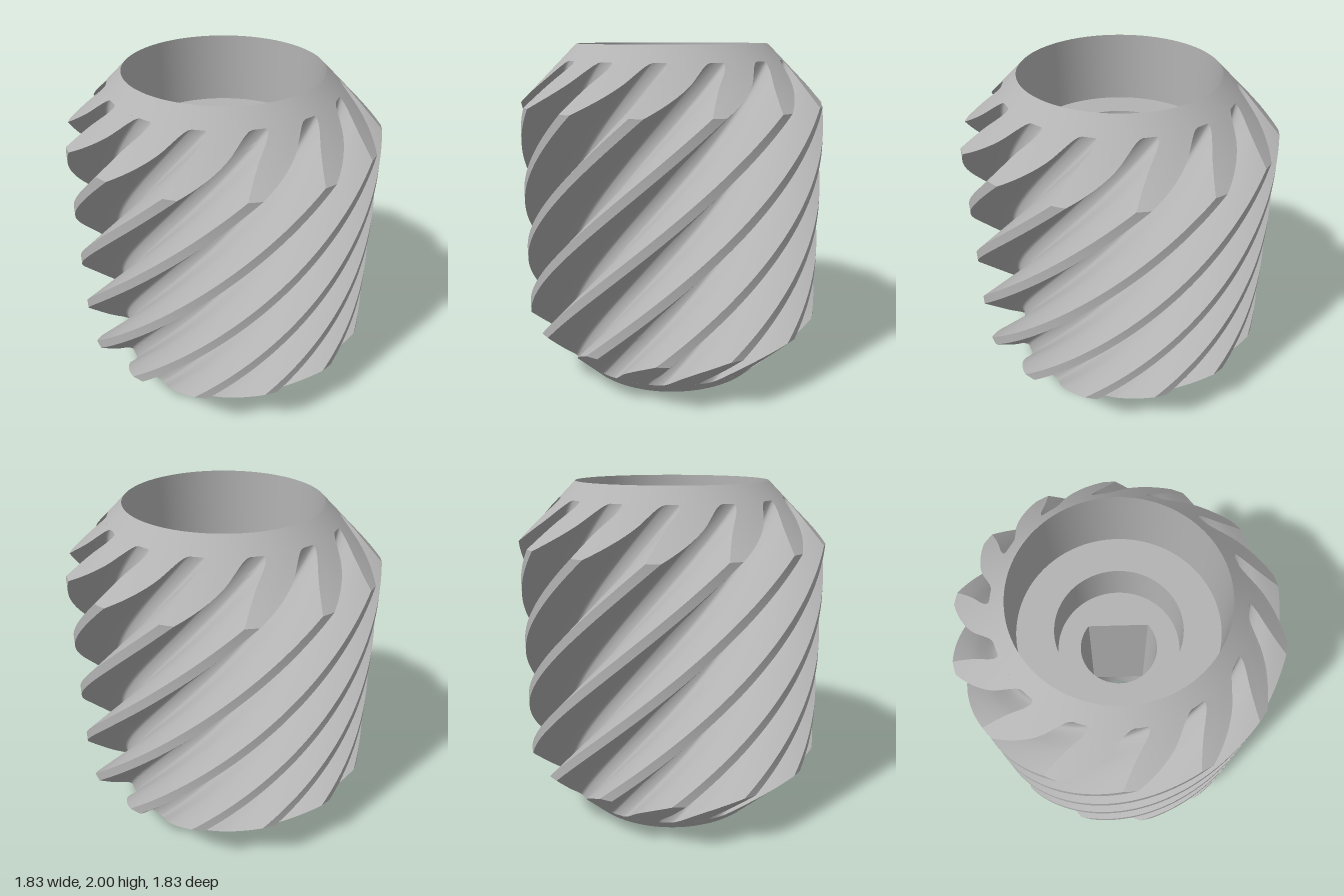
import * as THREE from 'three';
import { toCreasedNormals } from 'three/addons/utils/BufferGeometryUtils.js';

const TEETH = 14, HEIGHT = 2;
const RAD = Math.PI / 180;
const PITCH = (2 * Math.PI) / TEETH;
const TWIST = 72.3 * RAD;            // helix turn per unit of height
const PHASE = -2 * RAD;
const R_END = 0.57, R_ROOT = 0.66, R_TIP = 0.914, R_PITCH = 0.8, R_BASE = 0.752;
const R_HOLE = 0.227, R_SEAT = 0.36;
const Y_POCKET = 1.58, Y_SEAT = 1.3, Y_FLAT = 0.35;

// Half of a tooth as [radius, half angle], root fillet first, then the involute
function toothFlank() {
  const flank = [[R_ROOT, 10], [0.665, 8.9], [0.675, 8.2], [0.69, 7.75], [0.715, 7.42]]
    .map(([r, a]) => [r, a * RAD]);
  const inv = (r) => {
    const a = Math.acos(Math.min(1, R_BASE / r));
    return Math.tan(a) - a;
  };
  const steps = 7;
  for (let i = 0; i <= steps; i++) {
    const r = R_BASE + (R_TIP - R_BASE) * (i / steps);
    flank.push([r, PITCH / 4 + inv(R_PITCH) - inv(r)]);
  }
  return flank;
}

// Grid of quads; at(i, j) gives [radius, angle, y], i runs around and j upwards
function addGrid(out, nu, nv, at) {
  const put = (i, j) => {
    const [r, a, y] = at(i, j);
    out.push(r * Math.sin(a), y, r * Math.cos(a));
  };
  for (let i = 0; i < nu; i++) {
    for (let j = 0; j < nv; j++) {
      put(i, j); put(i + 1, j); put(i + 1, j + 1);
      put(i, j); put(i + 1, j + 1); put(i, j + 1);
    }
  }
}

function toGeometry(positions) {
  const g = new THREE.BufferGeometry();
  g.setAttribute('position', new THREE.Float32BufferAttribute(positions, 3));
  return toCreasedNormals(g, 35 * RAD);
}

export function createModel() {
  const group = new THREE.Group();
  const metal = new THREE.MeshStandardMaterial({ color: 0xb3b3b3 });
  metal.name = 'plain grey';
  const add = (name, geometry) => {
    const mesh = new THREE.Mesh(geometry, metal);
    mesh.name = name;
    group.add(mesh);
  };

  const flank = toothFlank();
  // One pitch of the outline: rising flank, land, falling flank, root
  const outline = [
    ...flank.map(([r, a]) => [r, -a]),
    [R_TIP, 0],
    ...[...flank].reverse(),
    [R_ROOT, PITCH / 2],
    [R_ROOT, PITCH - flank[0][1]],
  ];

  const threads = [], lowerEnds = [], upperEnds = [];
  const ROWS = 64, ACROSS = 4, last = flank.length - 1;
  for (let t = 0; t < TEETH; t++) {
    const centre = PHASE + t * PITCH;
    // Helical flanks, each line stopping where it meets the end cones
    addGrid(threads, outline.length - 1, ROWS, (i, j) => {
      const [r, a] = outline[i];
      const y0 = r - R_END;
      const y = y0 + (HEIGHT - 2 * y0) * (j / ROWS);
      return [r, centre + a + TWIST * y, y];
    });
    // Chamfered tooth ends lying on the cones
    const onCone = (k, i, upper) => {
      const [r, a] = flank[k];
      const y = upper ? HEIGHT - (r - R_END) : r - R_END;
      return [r, centre + a * (2 * i / ACROSS - 1) + TWIST * y, y];
    };
    addGrid(lowerEnds, ACROSS, last, (i, j) => onCone(j, i, false));
    addGrid(upperEnds, ACROSS, last, (i, j) => onCone(last - j, i, true));
  }
  add('helicalTeeth', toGeometry(threads));
  add('lowerToothChamfers', toGeometry(lowerEnds));
  add('upperToothChamfers', toGeometry(upperEnds));

  // Turned surfaces at both ends
  const turned = (points) => toCreasedNormals(
    new THREE.LatheGeometry(points.map(([r, y]) => new THREE.Vector2(r, y)), 112), 35 * RAD);
  add('bottomFaceAndBore', turned([
    [R_HOLE, Y_FLAT], [R_HOLE, 0], [R_END, 0], [R_ROOT, R_ROOT - R_END],
  ]));
  add('topRimAndPocket', turned([
    [R_ROOT, HEIGHT - R_ROOT + R_END], [R_END, HEIGHT],
    [R_END, Y_POCKET], [R_SEAT, Y_POCKET], [R_SEAT, Y_SEAT],
  ]));

  // Core with the D-shaped shaft hole
  const core = new THREE.Shape();
  core.absarc(0, 0, R_SEAT, 0, Math.PI * 2, false);
  const hole = new THREE.Path();
  const flat = Math.acos(0.14 / R_HOLE);
  hole.absarc(0, 0, R_HOLE, flat, Math.PI * 2 - flat, false);
  hole.closePath();
  core.holes.push(hole);
  const coreGeometry = new THREE.ExtrudeGeometry(core, {
    depth: Y_SEAT - Y_FLAT, bevelEnabled: false, curveSegments: 56,
  });
  coreGeometry.rotateX(-Math.PI / 2);
  coreGeometry.translate(0, Y_FLAT, 0);
  add('shaftHoleCore', toCreasedNormals(coreGeometry, 35 * RAD));

  return group;
}
